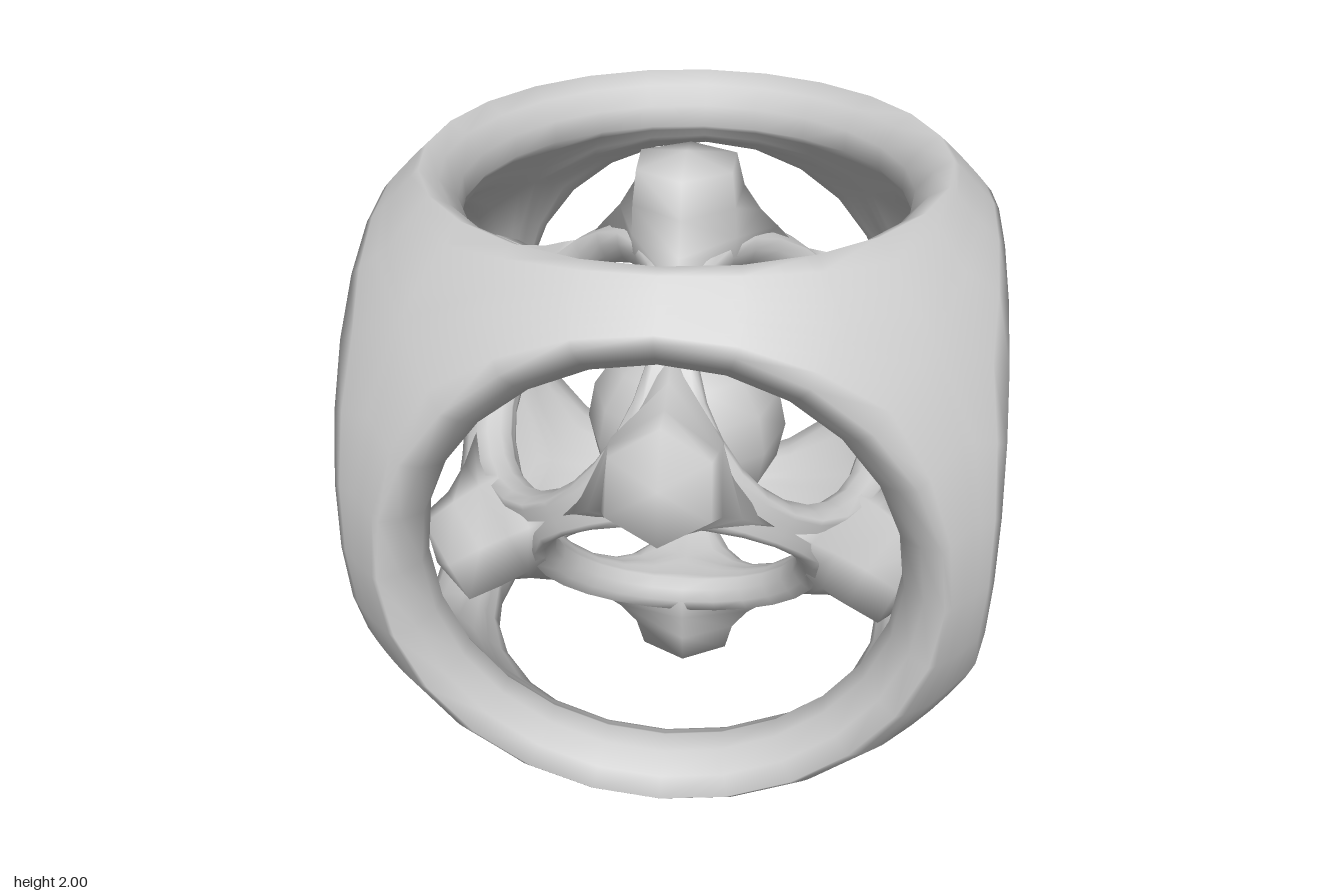
import * as THREE from 'three';
import { mergeGeometries, mergeVertices } from 'three/addons/utils/BufferGeometryUtils.js';

const OUTER_R = 1.3, INNER_R = 1.075; // shell radii of a cage with half-width 1
const SEGMENTS = 24, STEPS = 4;
// Rounded lip of each round window: [radius, distance from centre]
const LIP = [[0.84, 0.995], [0.78, 0.958], [0.727, 0.895], [0.724, 0.82]];
// Stub rows: [height, radius between the arms, radius along the arms]
const STUB = [
  [0.61, 0.14, 0.4], [0.68, 0.19, 0.34], [0.75, 0.195, 0.275],
  [0.85, 0.19, 0.21], [0.965, 0.175, 0.18], [1, 0, 0],
];

const material = () => new THREE.MeshStandardMaterial({ color: 0xcccccc });

// Cross-section from the cube-edge line, over the lip, to the same line inside
function section(phi) {
  const c = Math.cos(phi), s = Math.sin(phi), m = Math.max(Math.abs(c), Math.abs(s));
  const edge = new THREE.Vector3(c / m, s / m, 1).normalize();
  const lip = LIP.map(([r, z]) => new THREE.Vector3(c * r, s * r, z));
  const arc = (a, b, ra, rb, t) =>
    a.clone().normalize().lerp(b.clone().normalize(), t).setLength(ra + (rb - ra) * t);
  const last = lip[lip.length - 1], points = [];
  for (let k = 0; k < STEPS; k++) points.push(arc(edge, lip[0], OUTER_R, lip[0].length(), k / STEPS));
  points.push(...lip);
  for (let k = 1; k <= STEPS; k++) points.push(arc(last, edge, last.length(), INNER_R, k / STEPS));
  return points;
}

// One sixth of the cage, around the +z window
function windowGeometry() {
  const positions = [], index = [];
  let n = 0;
  for (let i = 0; i <= SEGMENTS; i++) {
    const points = section((i / SEGMENTS) * Math.PI * 2);
    n = points.length;
    points.forEach((p) => positions.push(p.x, p.y, p.z));
  }
  for (let i = 0; i < SEGMENTS; i++) {
    for (let j = 0; j < n - 1; j++) {
      const a = i * n + j, b = a + n;
      index.push(a, b, b + 1, a, b + 1, a + 1);
    }
  }
  const g = new THREE.BufferGeometry();
  g.setAttribute('position', new THREE.Float32BufferAttribute(positions, 3));
  g.setIndex(index);
  return g;
}

// Weld coincident corners and smooth the whole surface
function smooth(geometry) {
  const g = mergeVertices(geometry, 1e-3);
  g.computeVertexNormals();
  return g;
}

// Six windows welded into a smooth cage
function cageGeometry() {
  const q = Math.PI / 2, sides = [];
  for (let k = 0; k < 4; k++) sides.push(windowGeometry().rotateY(k * q));
  sides.push(windowGeometry().rotateX(q), windowGeometry().rotateX(-q));
  return smooth(mergeGeometries(sides));
}

// Six-sided stub whose foot flares out along the three arms of a cage corner
function stubGeometry() {
  const g = new THREE.LatheGeometry(STUB.map(([y, r]) => new THREE.Vector2(r, y)), 6);
  const p = g.attributes.position;
  for (let i = 0; i < p.count; i++) {
    const side = Math.floor(i / STUB.length), [y, gap, arm] = STUB[i % STUB.length];
    const f = side % 2 === 0 && gap > 0 ? arm / gap : 1;
    p.setXYZ(i, p.getX(i) * f, y, p.getZ(i) * f);
  }
  g.deleteAttribute('uv');
  g.deleteAttribute('normal');
  return smooth(g);
}

export function createModel() {
  const model = new THREE.Group();
  model.name = 'nestedCages';
  const add = (parent, name, geometry) => {
    const mesh = new THREE.Mesh(geometry, material());
    mesh.name = name;
    parent.add(mesh);
    return mesh;
  };

  const body = new THREE.Group();
  body.name = 'body';
  body.position.y = 1;
  model.add(body);

  const cage = cageGeometry();
  add(body, 'outerCage', cage);

  // Inner cage stands on one corner
  const inner = new THREE.Group();
  inner.name = 'innerCageWithStubs';
  const h = 1 / Math.sqrt(3), r2 = Math.SQRT1_2, r6 = 1 / Math.sqrt(6);
  inner.quaternion.setFromRotationMatrix(new THREE.Matrix4().makeBasis(
    new THREE.Vector3(r2, h, r6),
    new THREE.Vector3(0, h, -2 * r6),
    new THREE.Vector3(-r2, h, r6)
  ));
  body.add(inner);
  add(inner, 'innerCage', cage.clone().scale(0.568, 0.568, 0.568));

  // Stubs pointing out of the eight corners
  const stub = stubGeometry();
  for (const sx of [-1, 1]) for (const sy of [-1, 1]) for (const sz of [-1, 1]) {
    const y = new THREE.Vector3(sx, sy, sz).normalize();
    const z = new THREE.Vector3(-sx, 0, 0).projectOnPlane(y).normalize();
    const x = new THREE.Vector3().crossVectors(y, z);
    add(inner, 'cornerStub', stub).quaternion.setFromRotationMatrix(
      new THREE.Matrix4().makeBasis(x, y, z));
  }

  // Loose ball in the middle
  add(body, 'coreBall', new THREE.SphereGeometry(0.35, 10, 8));
  return model;
}
